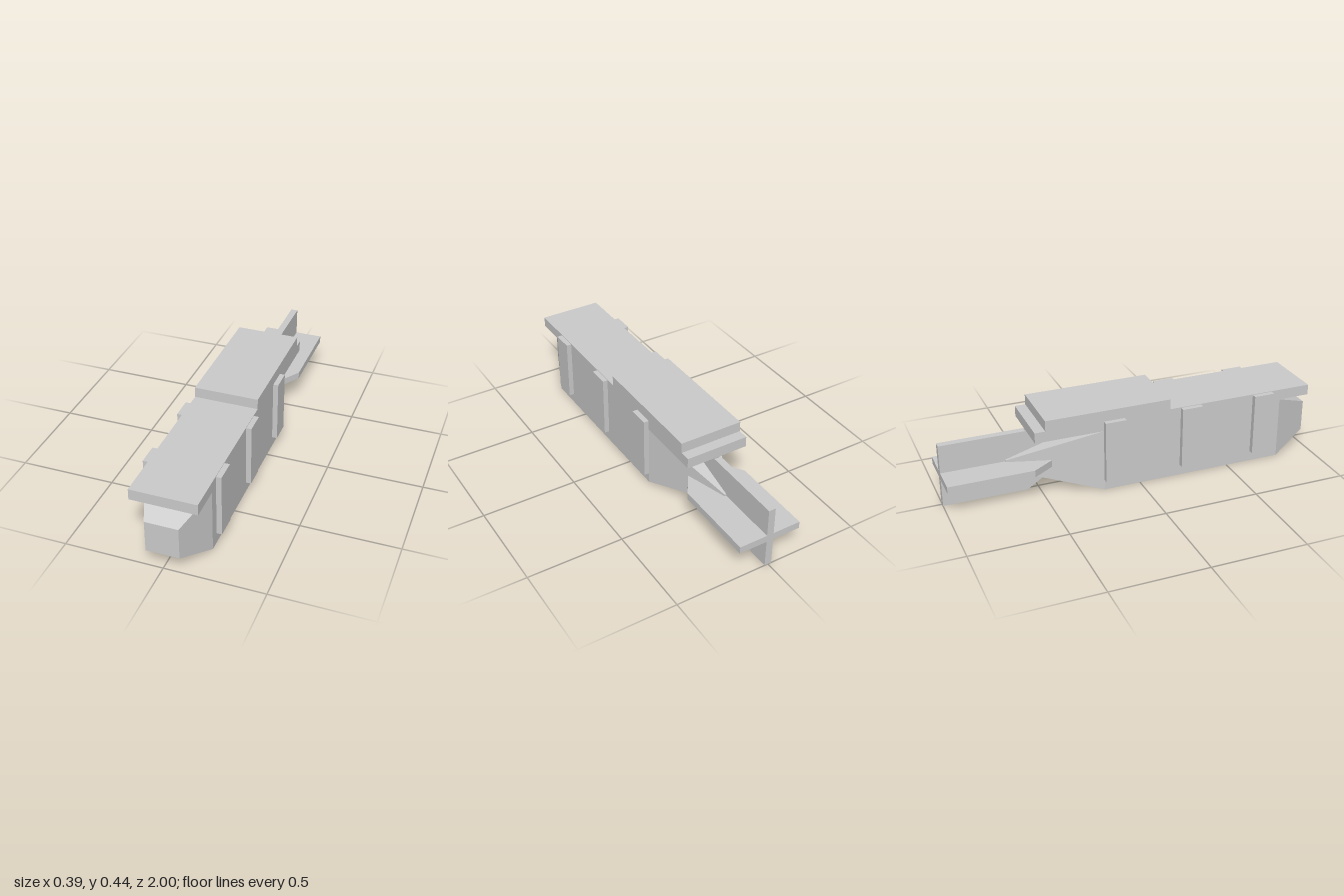
import * as THREE from 'three';

const HALF = 0.167; // half width of the hull and height of its axis

export function createModel() {
  const model = new THREE.Group();
  const material = new THREE.MeshStandardMaterial({ color: 0xcccccc, flatShading: true });

  const add = (name, geometry, x = 0, y = 0, z = 0) => {
    const mesh = new THREE.Mesh(geometry, material);
    mesh.name = name;
    mesh.position.set(x, y, z);
    model.add(mesh);
    return mesh;
  };

  // Box given by its lower and upper corners
  const addBox = (name, [x0, y0, z0], [x1, y1, z1]) =>
    add(name, new THREE.BoxGeometry(x1 - x0, y1 - y0, z1 - z0),
      (x0 + x1) / 2, (y0 + y1) / 2, (z0 + z1) / 2);

  // Hull: square section [half width, z], tapered at nose and tail
  const profile = [[0, -0.67], [0.028, -0.67], [HALF, -0.195], [HALF, 0.8], [0.0835, 1], [0, 1]]
    .map(([half, z]) => new THREE.Vector2(half * Math.SQRT2, z));
  const hull = new THREE.LatheGeometry(profile, 4, Math.PI / 4).toNonIndexed();
  hull.rotateX(Math.PI / 2);
  hull.computeVertexNormals();
  add('hull', hull, 0, HALF, 0);

  // Stepped deck on top
  addBox('lowerDeck', [-HALF, 0.334, -0.555], [HALF, 0.39, 0.97]);
  addBox('upperDeck', [-HALF, 0.39, -0.5], [HALF, 0.445, 0.165]);

  // Three ribs on each side
  for (const side of [-1, 1]) {
    for (const z of [0.693, 0.28, -0.14]) {
      const rib = new THREE.BoxGeometry(0.048, 0.331, 0.112);
      add(side > 0 ? 'leftRib' : 'rightRib', rib, side * 0.17, 0.2215, z);
    }
  }

  // Crossed tail fins with chamfered leading corners
  const outline = [[-1, -HALF], [-0.56, -HALF], [-0.45, -0.095], [-0.45, 0.095], [-0.56, HALF], [-1, HALF]];
  const thickness = 0.037;
  const fin = new THREE.ExtrudeGeometry(
    new THREE.Shape(outline.map(([z, v]) => new THREE.Vector2(z, v))),
    { depth: thickness, bevelEnabled: false });
  fin.translate(0, 0, -thickness / 2);
  fin.rotateY(-Math.PI / 2);
  add('verticalFin', fin, 0, HALF, 0);
  add('horizontalFin', fin, 0, HALF, 0).rotation.z = Math.PI / 2;

  return model;
}
